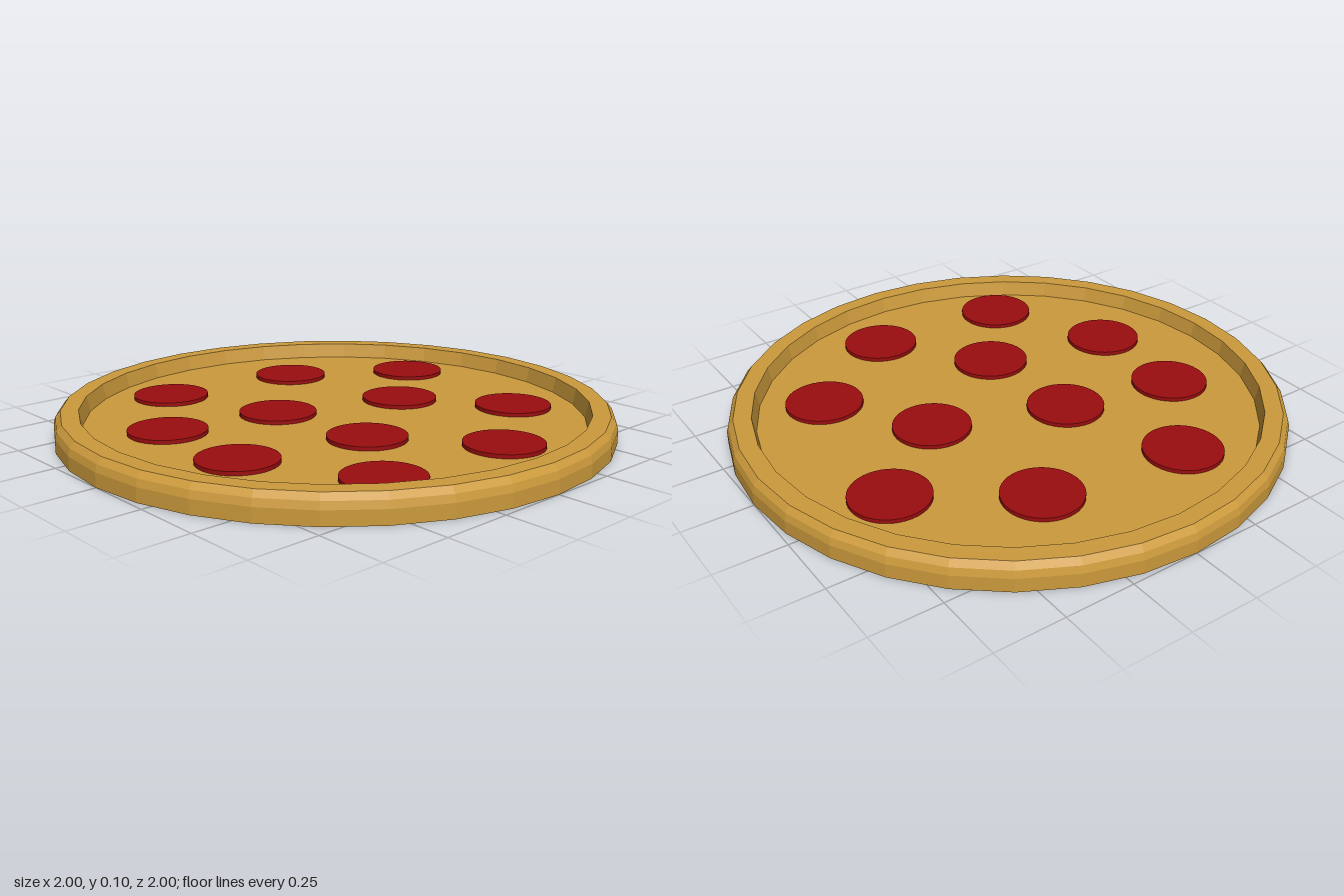
import * as THREE from 'three';

export function createModel() {
  const group = new THREE.Group();
  const dough = new THREE.MeshStandardMaterial({ color: 0xcc9a3c, flatShading: true });
  dough.name = 'golden dough';
  const red = new THREE.MeshStandardMaterial({ color: 0x9b0d0f });
  red.name = 'pepperoni red';

  const FLOOR = 0.04;
  const lathe = (name, profile) => {
    const points = profile.map(([r, y]) => new THREE.Vector2(r, y));
    const mesh = new THREE.Mesh(new THREE.LatheGeometry(points, 32), dough);
    mesh.name = name;
    group.add(mesh);
  };

  // Flat underside, rounded outer edge and raised rim
  lathe('crust', [
    [0, 0], [1, 0], [1, 0.05], [0.993, 0.075], [0.975, 0.096],
    [0.912, 0.096], [0.9, FLOOR],
  ]);

  // Sunken top surface inside the rim
  lathe('cheese', [[0.9, FLOOR], [0, FLOOR]]);

  // Pepperoni slices, placed as [x, z]
  const slice = new THREE.CylinderGeometry(0.14, 0.14, 0.014, 40);
  const spots = [
    [-0.305, -0.6], [0.24, -0.535], [0.645, -0.262], [-0.578, -0.225],
    [-0.153, -0.143], [0.315, 0.016], [-0.595, 0.188], [-0.121, 0.291],
    [0.552, 0.373], [-0.375, 0.626], [0.158, 0.656],
  ];
  spots.forEach(([x, z], i) => {
    const mesh = new THREE.Mesh(slice, red);
    mesh.name = `pepperoni${i + 1}`;
    mesh.position.set(x, FLOOR + 0.007, z);
    group.add(mesh);
  });

  return group;
}
